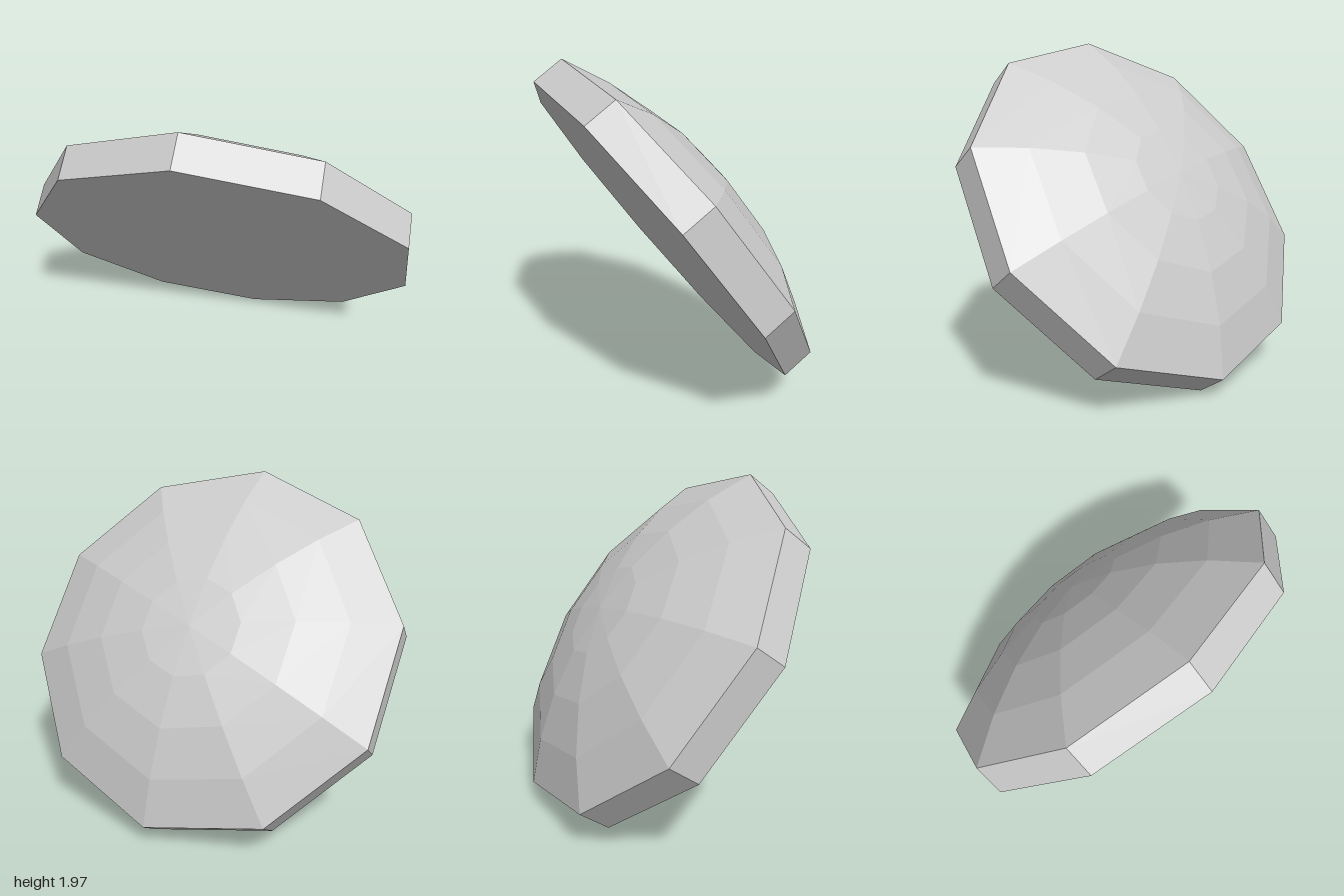
import * as THREE from 'three';

const RADIUS = 1.152, RIM = 0.2, DOME = 0.305, SIDES = 10, RINGS = 4;

export function createModel() {
  const group = new THREE.Group();
  group.name = 'domedDisc';
  const grey = new THREE.MeshStandardMaterial({ color: 0xcccccc, flatShading: true });
  grey.name = 'grey';

  // Profile: flat base, straight rim, then a shallow spherical cap in equal angular steps
  const edgeAngle = 2 * Math.atan(DOME / RADIUS);
  const sphere = RADIUS / Math.sin(edgeAngle);
  const profile = [new THREE.Vector2(0, 0), new THREE.Vector2(RADIUS, 0)];
  for (let i = RINGS; i >= 0; i--) {
    const a = edgeAngle * i / RINGS;
    profile.push(new THREE.Vector2(sphere * Math.sin(a), RIM + DOME - sphere * (1 - Math.cos(a))));
  }
  const disc = new THREE.Mesh(new THREE.LatheGeometry(profile, SIDES), grey);
  disc.name = 'disc';

  // Tilt the disc: dome towards left, up and back; flat base towards the front
  const axis = new THREE.Vector3(0.577, 0.588, -0.567).normalize();
  const corner = new THREE.Vector3(0, 0.567, 0.588).normalize();
  const side = new THREE.Vector3().crossVectors(axis, corner);
  disc.quaternion.setFromRotationMatrix(new THREE.Matrix4().makeBasis(side, axis, corner));
  disc.position.set(-0.058, 0.925, 0.056);
  group.add(disc);
  return group;
}
